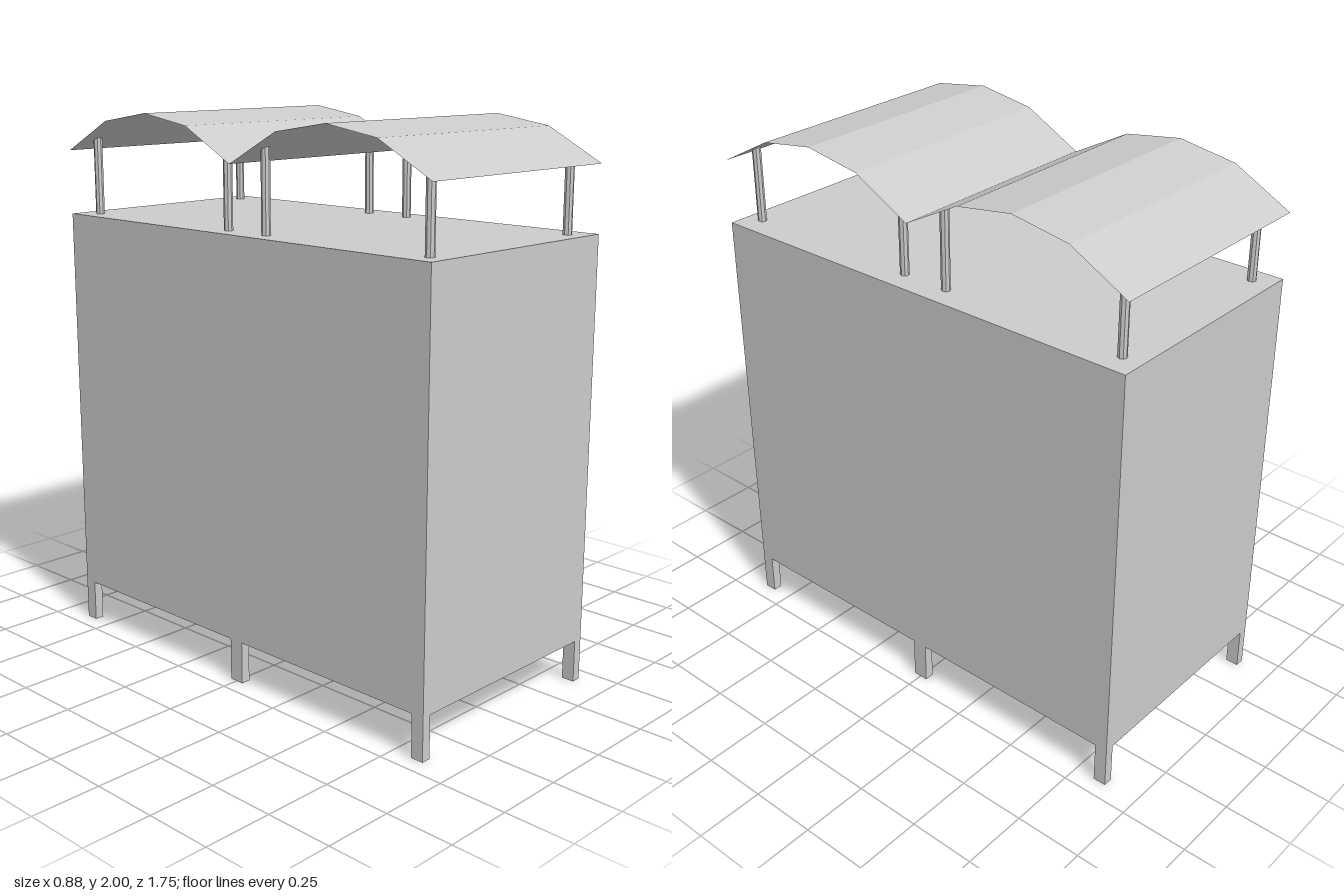
import * as THREE from 'three';

const W = 0.875, HALF_D = 0.875;       // body width and half depth
const FLOOR = 0.155, TOP = 1.615;      // body bottom and top
const EAVE = 1.85, RISE = 0.15, SEGMENTS = 4;

// Height of the faceted double-arch canopy at depth z
function arch(t) {
  const h = HALF_D / 2;
  const r = (h * h + RISE * RISE) / (2 * RISE);
  const d = (t - 0.5) * HALF_D;
  return EAVE + RISE - r + Math.sqrt(r * r - d * d);
}
function roofHeight(z) {
  const s = (Math.abs(z) / HALF_D) * SEGMENTS;
  const i = Math.min(Math.floor(s), SEGMENTS - 1);
  return THREE.MathUtils.lerp(arch(i / SEGMENTS), arch((i + 1) / SEGMENTS), s - i);
}

export function createModel() {
  const group = new THREE.Group();
  const solid = new THREE.MeshStandardMaterial({ color: 0xcccccc, flatShading: true });
  const sheet = new THREE.MeshStandardMaterial({ color: 0xcccccc, flatShading: true, side: THREE.DoubleSide });

  const add = (name, geometry, material, x, y, z) => {
    const mesh = new THREE.Mesh(geometry, material);
    mesh.name = name;
    mesh.position.set(x, y, z);
    group.add(mesh);
  };

  // Cabinet body
  add('body', new THREE.BoxGeometry(W, TOP - FLOOR, HALF_D * 2), solid, 0, (TOP + FLOOR) / 2, 0);

  // Six short legs, flush with the body sides
  const legW = 0.035;
  for (const side of [-1, 1]) {
    for (const [z, depth] of [[-0.851, 0.048], [0, 0.058], [0.851, 0.048]]) {
      add('leg', new THREE.BoxGeometry(legW, FLOOR, depth), solid, side * (W - legW) / 2, FLOOR / 2, z);
    }
  }

  // Roof posts, their tops cut to the slope of the canopy
  for (const x of [-0.364, 0.351]) {
    for (const z of [0.808, 0.097, -0.088, -0.8]) {
      const geometry = new THREE.CylinderGeometry(0.016, 0.016, 1, 8);
      const p = geometry.attributes.position;
      for (let i = 0; i < p.count; i++) {
        p.setY(i, p.getY(i) > 0 ? roofHeight(z + p.getZ(i)) : TOP);
      }
      geometry.computeVertexNormals();
      add('roofPost', geometry, solid, x, 0, z);
    }
  }

  // Two thin arched canopies, one behind the other
  for (const [name, z] of [['frontCanopy', HALF_D / 2], ['backCanopy', -HALF_D / 2]]) {
    const geometry = new THREE.PlaneGeometry(W, HALF_D, 1, SEGMENTS).rotateX(-Math.PI / 2);
    const p = geometry.attributes.position;
    for (let i = 0; i < p.count; i++) p.setY(i, arch(p.getZ(i) / HALF_D + 0.5));
    geometry.computeVertexNormals();
    add(name, geometry, sheet, 0, 0, z);
  }

  return group;
}
